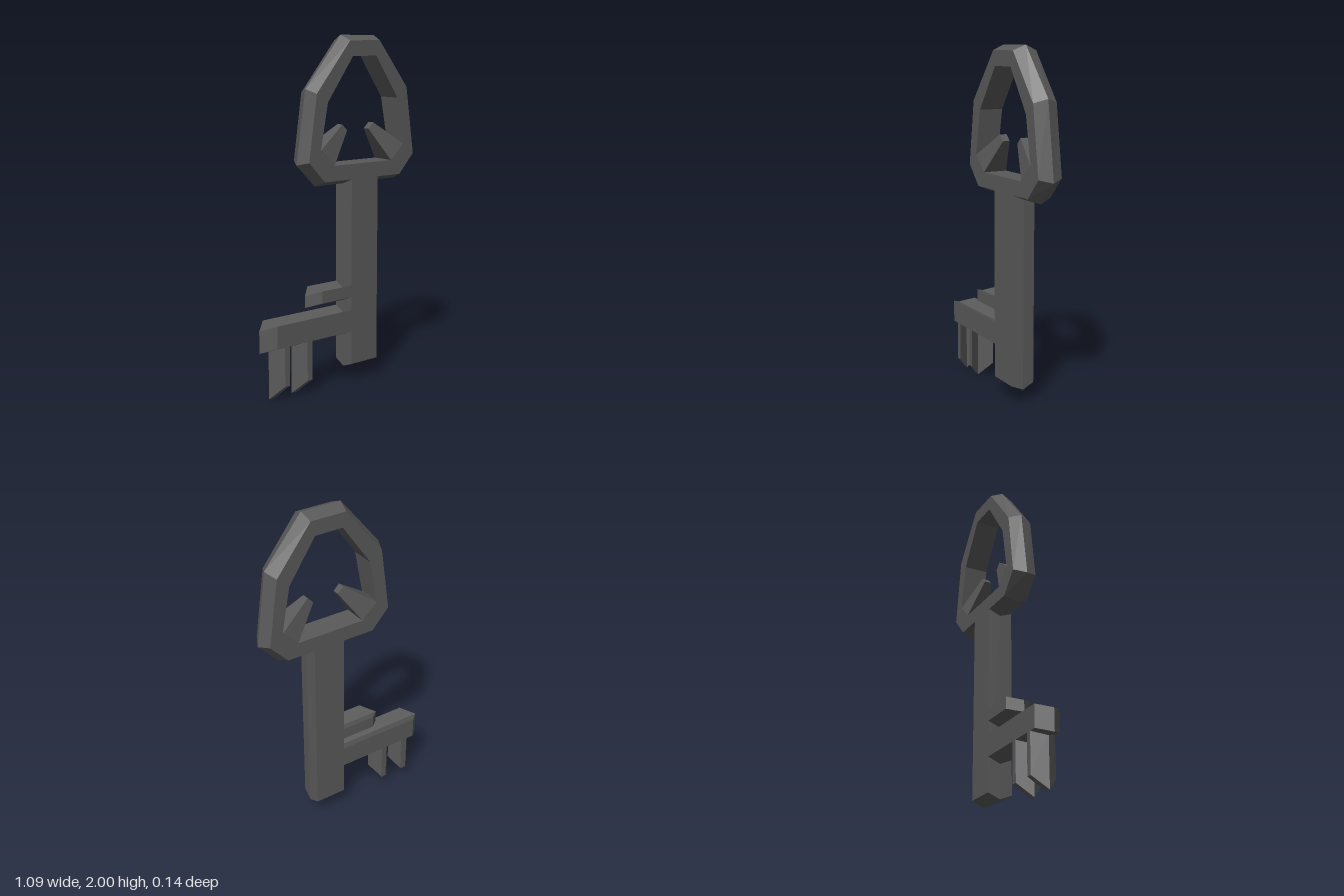
import * as THREE from 'three';

const T = 0.072; // half thickness

// Plate whose front and back share one outline and whose middle section has another,
// so its rim forms a ridge or a groove. Loops run counter-clockwise, the hole clockwise.
function bevelPlate(face, mid, hole = []) {
  const v = (list) => list.map(([x, y]) => new THREE.Vector2(x, y));
  const pos = [];
  const tri = (...pts) => pts.forEach((p) => pos.push(...p));
  const rim = (a, za, b, zb) => a.forEach((p, i) => {
    const j = (i + 1) % a.length;
    const a0 = [...p, za], a1 = [...a[j], za], b0 = [...b[i], zb], b1 = [...b[j], zb];
    tri(a0, b0, b1);
    tri(a0, b1, a1);
  });
  const all = [...face, ...hole];
  for (const [a, b, c] of THREE.ShapeUtils.triangulateShape(v(face), hole.length ? [v(hole)] : [])) {
    tri([...all[a], T], [...all[b], T], [...all[c], T]);
    tri([...all[a], -T], [...all[c], -T], [...all[b], -T]);
  }
  rim(face, T, mid, 0);
  rim(mid, 0, face, -T);
  if (hole.length) rim(hole, T, hole, -T);
  const g = new THREE.BufferGeometry();
  g.setAttribute('position', new THREE.Float32BufferAttribute(pos, 3));
  g.computeVertexNormals();
  return g;
}

const rect = (x0, y0, x1, y1) => [[x0, y0], [x1, y0], [x1, y1], [x0, y1]];

export function createModel() {
  const key = new THREE.Group();
  key.name = 'key';
  const iron = new THREE.MeshStandardMaterial({ color: 0x595959 });
  iron.name = 'dark iron';
  const add = (name, geometry) => {
    const mesh = new THREE.Mesh(geometry, iron);
    mesh.name = name;
    key.add(mesh);
    return mesh;
  };

  // Bow: angular ring with a ridged outer rim
  const bowFace = [[0.03, 1.97], [-0.2, 1.687], [-0.253, 1.315], [-0.147, 1.2],
    [0.4, 1.2], [0.505, 1.315], [0.448, 1.705], [0.242, 1.97]];
  const bowMid = [[0.017, 2], [-0.225, 1.71], [-0.288, 1.297], [-0.165, 1.17],
    [0.42, 1.17], [0.541, 1.297], [0.48, 1.727], [0.255, 2]];
  const bowHole = [[0.05, 1.885], [0.217, 1.885], [0.377, 1.645], [0.427, 1.379],
    [0.335, 1.287], [-0.08, 1.287], [-0.173, 1.379], [-0.125, 1.637]];
  add('bow', bevelPlate(bowFace, bowMid, bowHole));

  // Tapered spikes inside the bow
  for (const side of [-1, 1]) {
    const spike = new THREE.BoxGeometry(0.13, 0.222, 2 * T);
    const p = spike.attributes.position;
    for (let i = 0; i < p.count; i++) {
      if (p.getY(i) > 0) p.setXYZ(i, p.getX(i) * 0.38, p.getY(i), p.getZ(i) * 0.3);
    }
    spike.computeVertexNormals();
    const mesh = add(side < 0 ? 'rightSpike' : 'leftSpike', spike);
    mesh.position.set(0.127 + side * 0.174, 1.411, 0);
    mesh.rotation.z = side * Math.PI / 4;
  }

  // Shaft
  add('shaft', bevelPlate(rect(0.043, 0.11, 0.234, 1.2), rect(0.041, 0.08, 0.242, 1.175)));

  // Bit arms: grooved on top, ridged below, pointed at the end
  add('longArm', bevelPlate(rect(-0.474, 0.308, 0.043, 0.437), rect(-0.546, 0.277, 0.06, 0.405)));
  add('shortArm', bevelPlate(rect(-0.165, 0.513, 0.043, 0.583), rect(-0.237, 0.483, 0.06, 0.551)));

  // Teeth: chevron section with a slanted tip
  for (const [x, w, midW] of [[-0.426, 0.033, 0.04], [-0.255 - 0.017, 0.034, 0.035]]) {
    const m = x - 0.053;
    add('tooth', bevelPlate(rect(x, 0.08, x + w, 0.31), rect(m - 0.008, 0, m - 0.008 + midW, 0.3)));
  }
  return key;
}
